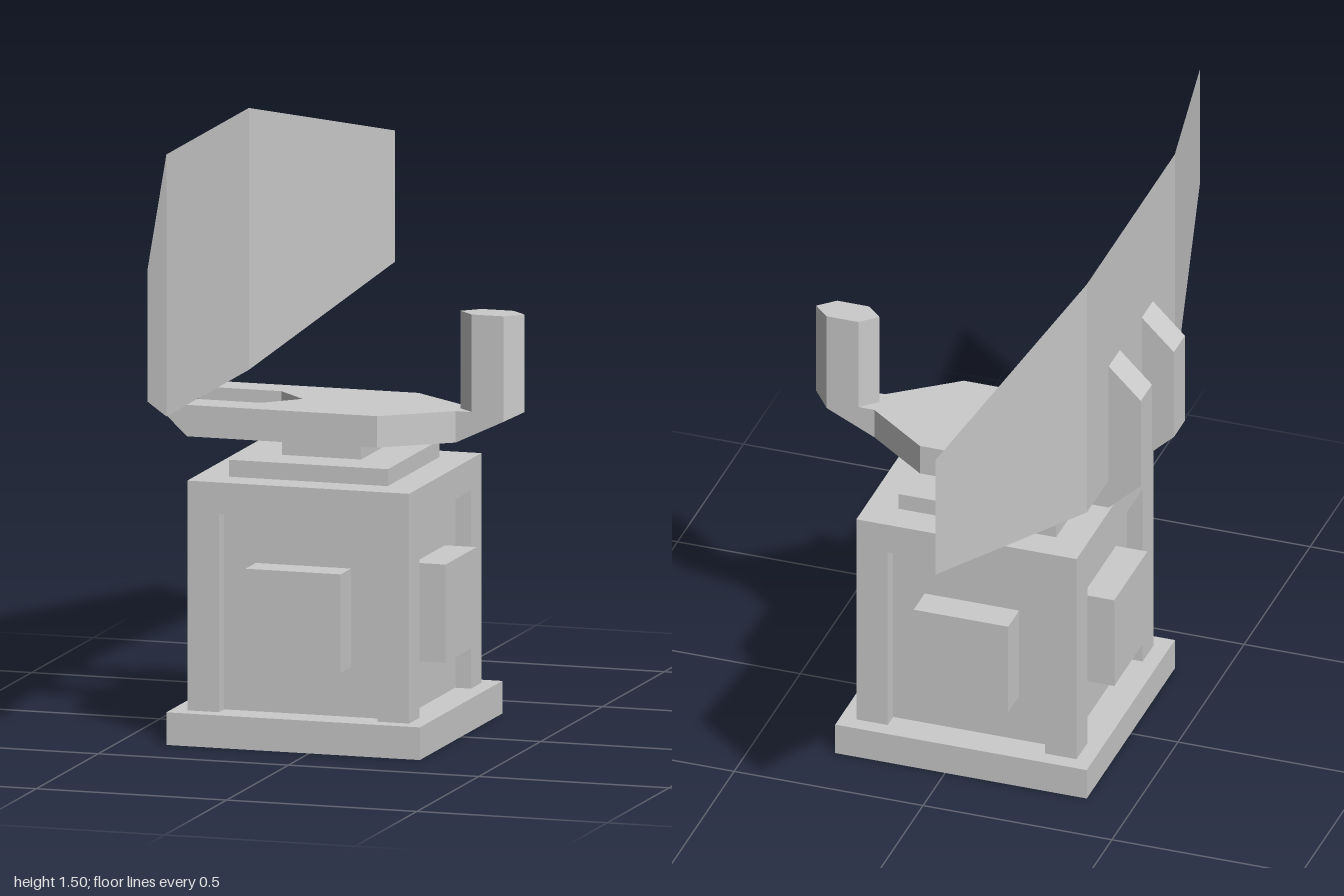
import * as THREE from 'three';

const grey = new THREE.MeshStandardMaterial({ color: 0xcccccc, flatShading: true });
const sheet = new THREE.MeshStandardMaterial({ color: 0xcccccc, flatShading: true, side: THREE.DoubleSide });

function add(parent, name, geometry, material = grey) {
  const mesh = new THREE.Mesh(geometry, material);
  mesh.name = name;
  parent.add(mesh);
  return mesh;
}

// Box given by size, bottom height and centre
function addBox(parent, name, w, d, y0, y1, x = 0, z = 0) {
  const mesh = add(parent, name, new THREE.BoxGeometry(w, y1 - y0, d));
  mesh.position.set(x, (y0 + y1) / 2, z);
  return mesh;
}

const outline = (points) => new THREE.Shape(points.map(([a, b]) => new THREE.Vector2(a, b)));

// Prism from a plan outline of [x, z] points, between two heights
function planPrism(points, y0, y1) {
  const g = new THREE.ExtrudeGeometry(outline(points), { depth: y1 - y0, bevelEnabled: false });
  return g.rotateX(Math.PI / 2).translate(0, y1, 0);
}

function createPedestal() {
  const g = new THREE.Group();
  g.name = 'pedestal';
  addBox(g, 'basePlate', 0.666, 0.666, 0, 0.083);
  addBox(g, 'core', 0.5, 0.5, 0.083, 0.59);
  addBox(g, 'lintel', 0.583, 0.583, 0.587, 0.667);
  addBox(g, 'topStep', 0.417, 0.417, 0.667, 0.71);
  addBox(g, 'neck', 0.208, 0.208, 0.71, 0.755);
  // One corner post and one raised box for each side
  for (let i = 0; i < 4; i++) {
    const side = new THREE.Group();
    side.name = 'side';
    side.rotation.y = (i * Math.PI) / 2;
    addBox(side, 'cornerPost', 0.083, 0.083, 0.083, 0.587, 0.25, 0.25);
    addBox(side, 'sideBox', 0.25, 0.085, 0.21, 0.46, 0, 0.2905);
    g.add(side);
  }
  g.position.x = -0.042;
  return g;
}

function createCradle() {
  const g = new THREE.Group();
  g.name = 'cradle';
  const y0 = 0.755, y1 = 0.835;

  // Forked plate that narrows towards the feed post
  add(g, 'forkPlate', planPrism([
    [-0.375, 0.167], [0.125, 0.167], [0.29, 0.04], [0.29, -0.04], [0.125, -0.167], [-0.375, -0.167],
    [-0.375, -0.083], [-0.208, -0.083], [-0.125, 0], [-0.208, 0.083], [-0.375, 0.083],
  ], y0, y1));

  // Upright prongs behind the dish
  for (const z of [-0.167, 0.083]) {
    const prong = new THREE.ExtrudeGeometry(
      outline([[-0.375, y0], [-0.375, 1.167], [-0.46, 1.083], [-0.46, y1]]),
      { depth: 0.084, bevelEnabled: false });
    add(g, 'prong', prong.translate(0, 0, z));
  }

  // Feed post with pointed ends
  add(g, 'feedPost', planPrism([
    [0.29, 0], [0.332, 0.04], [0.416, 0.04], [0.458, 0], [0.416, -0.04], [0.332, -0.04],
  ], y1, 1.083));

  // Foot of the post, its underside sloping up to the tip
  const foot = planPrism([[0.29, 0.04], [0.416, 0.04], [0.458, 0], [0.416, -0.04], [0.29, -0.04]], y0, y1);
  const p = foot.attributes.position;
  for (let i = 0; i < p.count; i++) {
    if (p.getY(i) < y1 - 0.01) p.setY(i, y0 + ((p.getX(i) - 0.29) / 0.168) * (y1 - y0));
  }
  foot.computeVertexNormals();
  add(g, 'feedPostFoot', foot);
  return g;
}

// Thin dish folded into a centre panel and two tapered wings
function createDish() {
  const sections = [[-1, -0.208, 0.167], [-0.333, -0.375, 0.333], [0.333, -0.375, 0.333], [1, -0.208, 0.167]];
  const positions = [], index = [];
  sections.forEach(([z, x, half], i) => {
    positions.push(x, 1.168 - half, z, x, 1.168 + half, z);
    const a = i * 2;
    if (i < 3) index.push(a, a + 1, a + 2, a + 1, a + 3, a + 2);
  });
  const g = new THREE.BufferGeometry();
  g.setAttribute('position', new THREE.Float32BufferAttribute(positions, 3));
  g.setIndex(index);
  const flat = g.toNonIndexed();
  flat.computeVertexNormals();
  return flat;
}

export function createModel() {
  const model = new THREE.Group();
  model.name = 'radarStation';
  model.add(createPedestal(), createCradle());
  add(model, 'dish', createDish(), sheet);
  return model;
}
